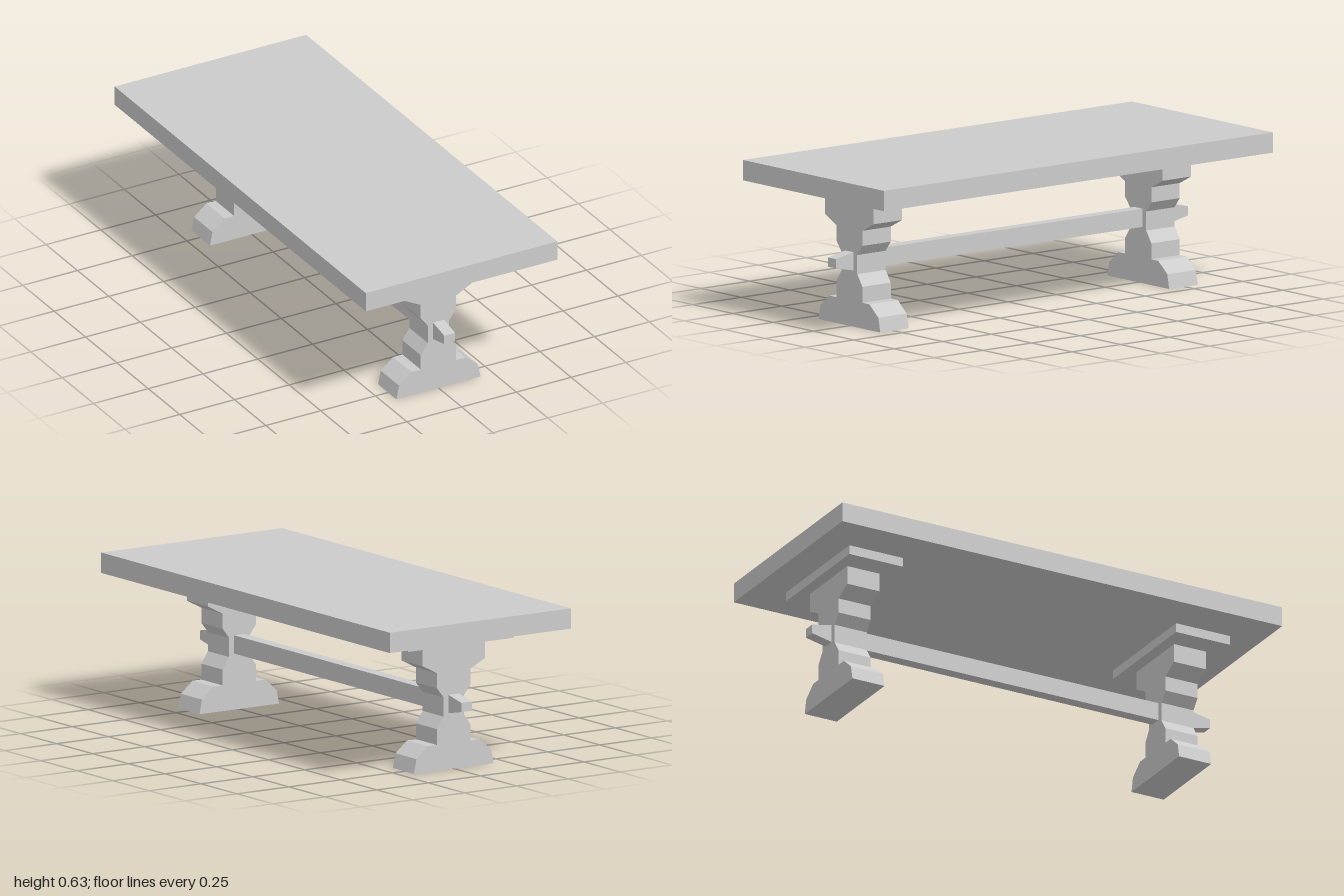
import * as THREE from 'three';

const material = new THREE.MeshStandardMaterial({ color: 0xcccccc, flatShading: true });

function addMesh(parent, name, geometry) {
  const mesh = new THREE.Mesh(geometry, material);
  mesh.name = name;
  parent.add(mesh);
  return mesh;
}

// Mirrors a half outline (bottom to top) and extrudes it, centred on its depth
function mirroredExtrude(half, depth) {
  const left = half.map(([u, y]) => [-u, y]).reverse();
  const shape = new THREE.Shape([...half, ...left].map(([u, y]) => new THREE.Vector2(u, y)));
  return new THREE.ExtrudeGeometry(shape, { depth, bevelEnabled: false }).translate(0, 0, -depth / 2);
}

export function createModel() {
  const table = new THREE.Group();
  table.name = 'trestleTable';

  // Thick plank top
  addMesh(table, 'tableTop', new THREE.BoxGeometry(0.874, 0.082, 2)).position.y = 0.586;

  // Stepped trestle outline, from foot to head
  const trestleHalf = [
    [0.192, 0], [0.18, 0.058], [0.124, 0.104], [0.081, 0.104], [0.081, 0.168], [0.049, 0.215],
    [0.049, 0.292], [0.081, 0.333], [0.081, 0.394], [0.151, 0.43], [0.151, 0.507],
  ];
  const trestleGeometry = mirroredExtrude(trestleHalf, 0.146);
  const plateGeometry = new THREE.BoxGeometry(0.508, 0.038, 0.244);

  for (const [side, label] of [[1, 'front'], [-1, 'back']]) {
    const support = new THREE.Group();
    support.name = label + 'Support';
    support.position.z = side * 0.743;
    addMesh(support, label + 'Trestle', trestleGeometry);
    addMesh(support, label + 'MountingPlate', plateGeometry).position.y = 0.526;
    table.add(support);
  }

  // Stretcher beam passing through both trestles, with tapered ends
  const beamHalf = [[0.815, 0.226], [0.905, 0.245], [0.905, 0.282], [0.815, 0.3]];
  addMesh(table, 'stretcherBeam', mirroredExtrude(beamHalf, 0.05).rotateY(-Math.PI / 2));

  return table;
}
